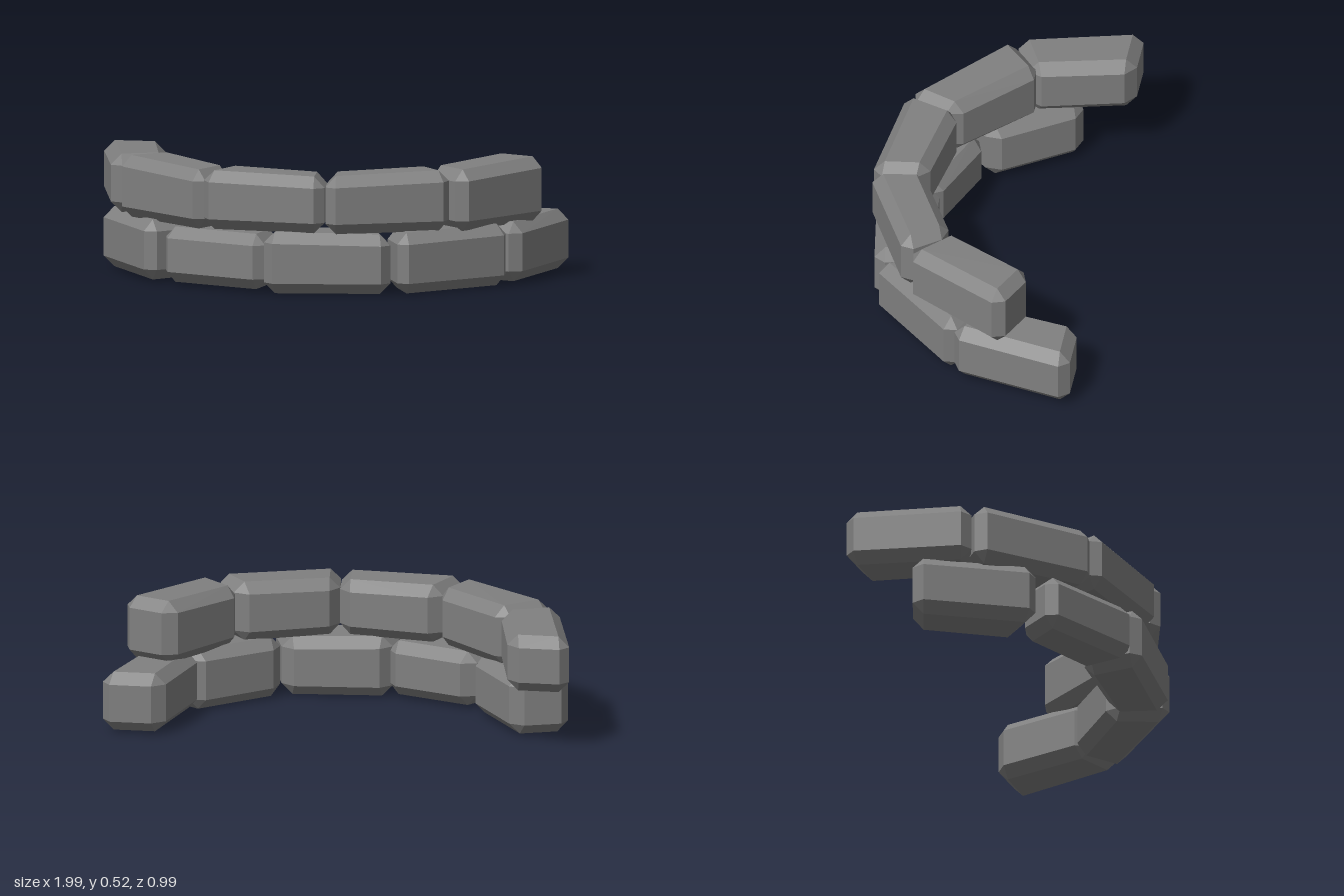
import * as THREE from 'three';
import { ConvexGeometry } from 'three/addons/geometries/ConvexGeometry.js';

const BEVEL = 0.046;

// Bevelled block from a four-cornered footprint [outer start, outer end, inner end, inner start]
// with its own bottom height and a top height at each end.
function blockGeometry(foot, bottom, topStart, topEnd) {
  const tops = [topStart, topEnd, topEnd, topStart];
  const low = foot.map(([x, z]) => new THREE.Vector3(x, bottom, z));
  const high = foot.map(([x, z], i) => new THREE.Vector3(x, tops[i], z));
  const points = [];
  [[low, high], [high, low]].forEach(([ring, other]) => {
    for (let i = 0; i < 4; i++) {
      const corner = ring[i];
      const steps = [ring[(i + 1) % 4], ring[(i + 3) % 4], other[i]].map((p) =>
        p.clone().sub(corner).setLength(BEVEL));
      // one point on each of the three faces that meet at the corner
      for (let k = 0; k < 3; k++) {
        points.push(corner.clone().add(steps[k]).add(steps[(k + 1) % 3]));
      }
    }
  });
  return new ConvexGeometry(points);
}

export function createModel() {
  const stone = new THREE.MeshStandardMaterial({ color: 0x808080 });
  stone.name = 'grey stone';

  // each block: footprint corners (x, z), bottom, top at start, top at end
  const courses = {
    lowerCourse: [
      [[[1.005, -0.5], [0.87, 0.03], [0.64, -0.06], [0.735, -0.5]], 0.012, 0.265, 0.265],
      [[[0.85, 0.03], [0.44, 0.425], [0.33, 0.18], [0.65, -0.11]], 0.003, 0.265, 0.26],
      [[[0.405, 0.425], [-0.14, 0.5], [-0.12, 0.23], [0.33, 0.19]], 0.003, 0.255, 0.265],
      [[[-0.14, 0.49], [-0.62, 0.29], [-0.48, 0.09], [-0.1, 0.235]], 0.015, 0.25, 0.25],
      [[[-0.67, 0.26], [-0.965, -0.2], [-0.73, -0.29], [-0.49, 0.07]], 0.01, 0.265, 0.265],
    ],
    upperCourse: [
      [[[-1.005, -0.5], [-0.87, 0.03], [-0.64, -0.07], [-0.74, -0.5]], 0.262, 0.505, 0.51],
      [[[-0.85, 0.05], [-0.42, 0.42], [-0.32, 0.2], [-0.65, -0.12]], 0.255, 0.518, 0.505],
      [[[-0.425, 0.42], [0.125, 0.485], [0.1, 0.25], [-0.33, 0.18]], 0.26, 0.51, 0.5],
      [[[0.13, 0.49], [0.64, 0.26], [0.5, 0.08], [0.1, 0.26]], 0.257, 0.503, 0.515],
      [[[0.67, 0.25], [0.96, -0.2], [0.73, -0.3], [0.49, 0.08]], 0.25, 0.51, 0.525],
    ],
  };

  const model = new THREE.Group();
  model.name = 'curvedStoneWall';
  for (const [name, blocks] of Object.entries(courses)) {
    const course = new THREE.Group();
    course.name = name;
    blocks.forEach((block, i) => {
      const mesh = new THREE.Mesh(blockGeometry(...block), stone);
      mesh.name = `${name}Block${i + 1}`;
      course.add(mesh);
    });
    model.add(course);
  }
  return model;
}
